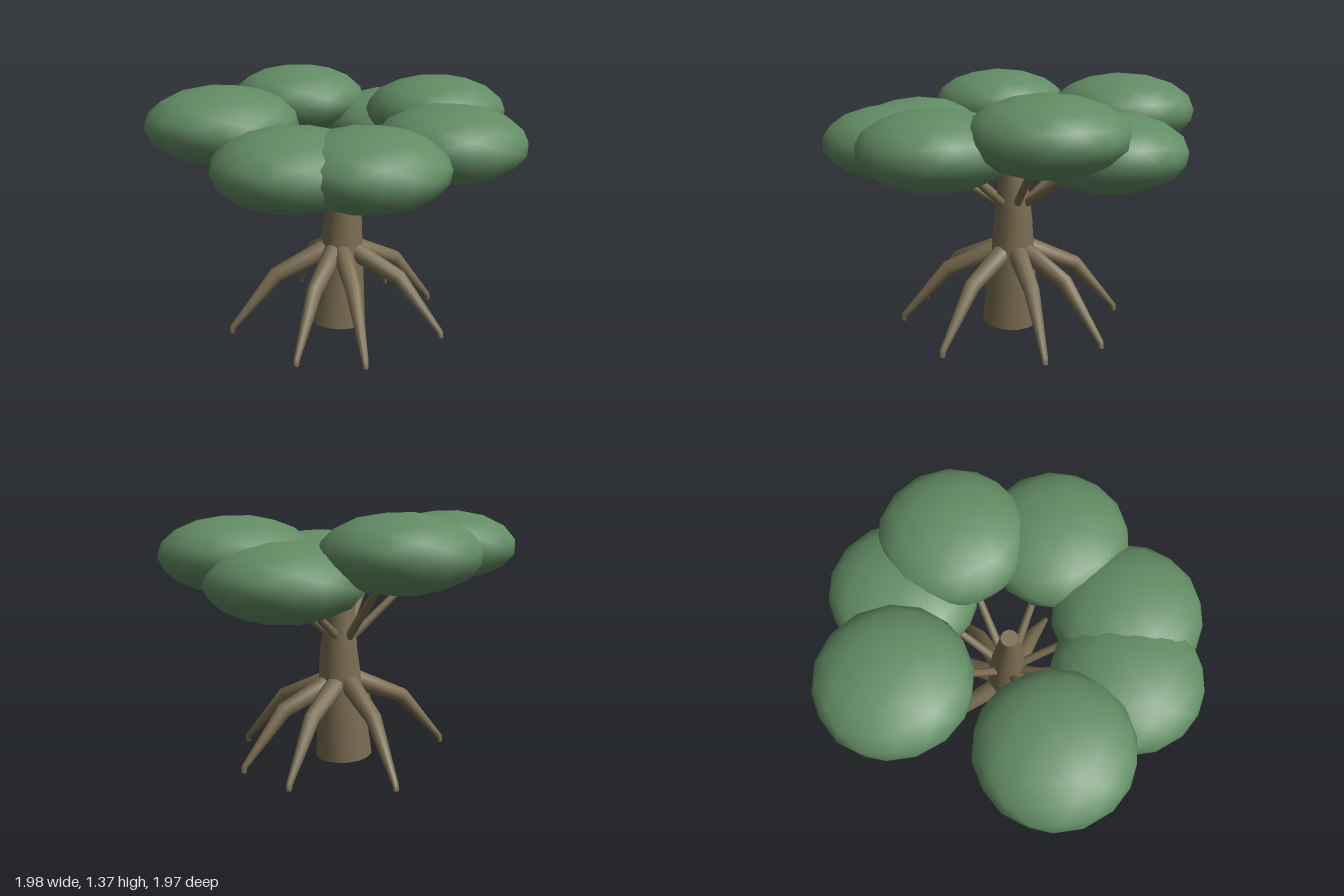
import * as THREE from 'three';
import { mergeVertices } from 'three/addons/utils/BufferGeometryUtils.js';

const V = (x, y, z) => new THREE.Vector3(x, y, z);

// Tapered limb through a few points; each stop is [point, radius]
function limb(stops, side, sides) {
  const pos = [], idx = [], n = stops.length;
  const rings = stops.map(([p, r], i) => {
    const a = stops[Math.max(i - 1, 0)][0], b = stops[Math.min(i + 1, n - 1)][0];
    const t = i > 0 && i < n - 1
      ? p.clone().sub(a).normalize().add(b.clone().sub(p).normalize()).normalize()
      : b.clone().sub(a).normalize();
    const u = side.clone().addScaledVector(t, -side.dot(t)).normalize();
    const v = t.clone().cross(u);
    return Array.from({ length: sides }, (_, j) => {
      const th = (j / sides) * Math.PI * 2;
      return p.clone().addScaledVector(u, Math.cos(th) * r).addScaledVector(v, Math.sin(th) * r);
    });
  });
  rings.forEach(ring => ring.forEach(p => pos.push(p.x, p.y, p.z)));
  for (let i = 0; i < n - 1; i++) {
    for (let j = 0; j < sides; j++) {
      const k = (j + 1) % sides;
      const a = i * sides + j, b = i * sides + k, c = b + sides, d = a + sides;
      idx.push(a, b, c, a, c, d);
    }
  }
  // end caps on their own vertices, so the rims stay sharp
  [0, n - 1].forEach(e => {
    const base = pos.length / 3;
    rings[e].forEach(p => pos.push(p.x, p.y, p.z));
    for (let j = 1; j < sides - 1; j++) {
      if (e === 0) idx.push(base, base + j + 1, base + j);
      else idx.push(base, base + j, base + j + 1);
    }
  });
  const g = new THREE.BufferGeometry();
  g.setAttribute('position', new THREE.Float32BufferAttribute(pos, 3));
  g.setIndex(idx);
  g.computeVertexNormals();
  return g;
}

export function createModel() {
  const tree = new THREE.Group();
  tree.name = 'tree';
  const bark = new THREE.MeshStandardMaterial({ color: 0x786b50 });
  bark.name = 'bark';
  const leaf = new THREE.MeshStandardMaterial({ color: 0x628c64 });
  leaf.name = 'leaf';

  const add = (geometry, material, name) => {
    const mesh = new THREE.Mesh(geometry, material);
    mesh.name = name;
    tree.add(mesh);
    return mesh;
  };

  // Trunk, leaning a little and narrowing to a blunt top
  add(limb([
    [V(-0.012, 0.011, 0.01), 0.157],
    [V(0.025, 0.62, 0.005), 0.103],
    [V(-0.005, 1.1, 0), 0.045],
  ], V(0, 0, 1), 16), bark, 'trunk');

  // Leaf clump shared by all branches
  const ball = new THREE.IcosahedronGeometry(1, 2);
  ball.deleteAttribute('uv');
  ball.deleteAttribute('normal');
  const clump = mergeVertices(ball, 1e-4);
  clump.scale(0.39, 0.195, 0.39);
  clump.computeVertexNormals();

  // Each clump centre also sets the direction of one branch and one root
  const clumps = [
    [0.05, 1.185, -0.605],
    [-0.61, 1.165, -0.105],
    [0.605, 1.16, 0.015],
    [0.51, 1.05, -0.33],
    [0.37, 1.08, 0.49],
    [-0.165, 1.035, 0.6],
    [-0.46, 1.03, 0.41],
  ];

  clumps.forEach(([x, y, z]) => {
    const reach = Math.hypot(x, z);
    const at = (r, h) => V((x / reach) * r, h, (z / reach) * r);
    const side = V(-z / reach, 0, x / reach);

    add(clump, leaf, 'leafClump').position.set(x, y, z);

    add(limb([
      [at(0.07, 0.69), 0.024],
      [at(reach * 0.95, y - 0.02), 0.016],
    ], side, 8), bark, 'branch');

    // Stilt root: out of the trunk, over a knee, down to a small foot
    add(limb([
      [at(0.03, 0.45), 0.05],
      [at(0.09, 0.43), 0.055],
      [at(0.36, 0.315), 0.043],
      [at(reach - 0.012, 0.04), 0.017],
      [at(reach - 0.005, 0.008), 0.014],
    ], side, 10), bark, 'stiltRoot');
  });

  return tree;
}
